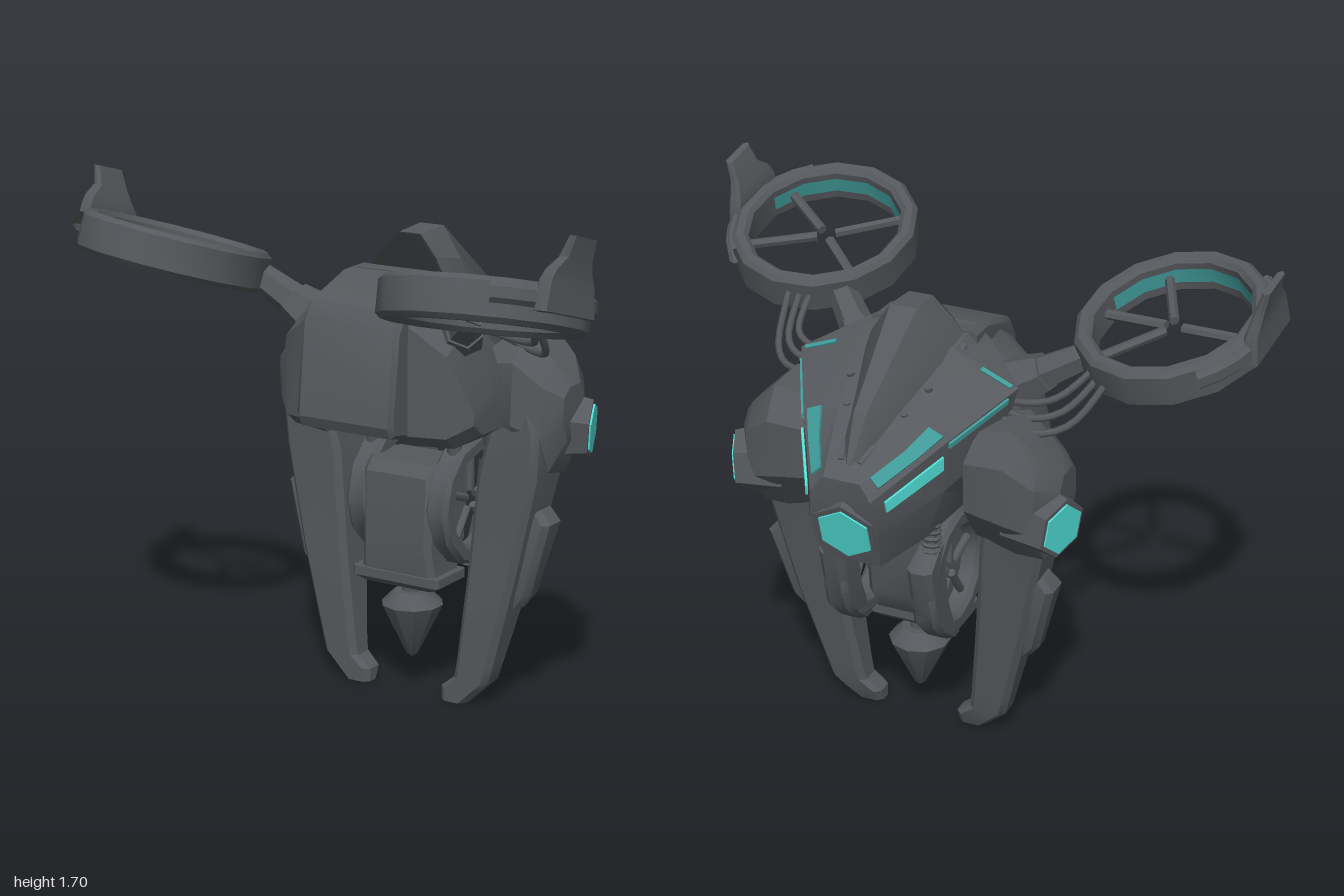
import * as THREE from 'three';
import { toCreasedNormals } from 'three/addons/utils/BufferGeometryUtils.js';

const paint = (name, color) => {
  const m = new THREE.MeshStandardMaterial({ color, side: THREE.DoubleSide });
  m.name = name;
  return m;
};
const V = (a) => new THREE.Vector3(...a);
const SIDES = [-1, 1];

export function createModel() {
  const armour = paint('armourGrey', 0x55585c);
  const dark = paint('darkGlass', 0x2b2c2e);
  const glow = paint('tealGlow', 0x50ddd5);
  const stripe = paint('tealStripe', 0x3f9a98);
  const model = new THREE.Group();
  model.name = 'drone';
  const body = new THREE.Group();
  body.name = 'body';
  body.position.x = 0.04;
  body.rotation.y = 0.125;
  model.add(body);

  const add = (parent, name, geo, mat = armour, crease = 0.55) => {
    const mesh = new THREE.Mesh(toCreasedNormals(geo, crease), mat);
    mesh.name = name;
    parent.add(mesh);
    return mesh;
  };

  // Closed solid through equal-length rings of points, wound outwards
  const loft = (rings) => {
    const n = rings[0].length, tris = [];
    for (let k = 0; k + 1 < rings.length; k++) for (let i = 0; i < n; i++) {
      const j = (i + 1) % n, a = rings[k], b = rings[k + 1];
      tris.push([a[i], a[j], b[j]], [a[i], b[j], b[i]]);
    }
    const cap = (r, flip) => {
      const c = [0, 1, 2].map((d) => r.reduce((t, p) => t + p[d], 0) / n);
      r.forEach((p, i) => tris.push(flip ? [c, r[(i + 1) % n], p] : [c, p, r[(i + 1) % n]]));
    };
    cap(rings[0], true);
    cap(rings[rings.length - 1], false);
    const volume = tris.reduce((t, [a, b, c]) => t + V(a).dot(V(b).cross(V(c))), 0);
    if (volume < 0) tris.forEach((t) => t.reverse());
    return new THREE.BufferGeometry().setAttribute('position', new THREE.Float32BufferAttribute(tris.flat(2), 3));
  };
  // Chamfered rectangle at height y: [y, x0, x1, z0, z1]
  const slab = (s, c) => ([y, x0, x1, z0, z1]) => [
    [x0 + c, z0], [x1 - c, z0], [x1, z0 + c], [x1, z1 - c], [x1 - c, z1], [x0 + c, z1], [x0, z1 - c], [x0, z0 + c],
  ].map(([x, z]) => [x * s, y, z]);
  const post = (s, rows, c = 0.02) => loft(rows.map(slab(s, c)));

  // Cylinder from a to b
  const beam = (parent, name, a, b, r0, r1 = r0, sides = 8, mat = armour) => {
    const d = V(b).sub(V(a));
    const mesh = add(parent, name, new THREE.CylinderGeometry(r1, r0, d.length(), sides), mat, 0.9);
    mesh.position.copy(V(a).addScaledVector(d, 0.5));
    mesh.quaternion.setFromUnitVectors(V([0, 1, 0]), d.normalize());
    return mesh;
  };
  // Bevelled ring around y
  const hoop = (r0, r1, h, seg, start = 0, span = Math.PI * 2) => {
    const b = Math.min(0.015, (r1 - r0) / 3), t = h / 2;
    return new THREE.LatheGeometry([[r0 + b, -t], [r1 - b, -t], [r1, -t + b], [r1, t - b], [r1 - b, t], [r0 + b, t], [r0, t - b], [r0, -t + b], [r0 + b, -t]]
      .map((p) => new THREE.Vector2(...p)), seg, start, span);
  };

  // Hull: half profiles, top to bottom, from front to tail
  const hull = [
    [[0.15, 1.43, 0.02], [0.2, 1.38, 0.02], [0.24, 1.15, 0.0], [0.2, 0.95, 0.0]],
    [[0.15, 1.41, -0.15], [0.37, 1.33, -0.17], [0.32, 1.14, -0.17], [0.22, 0.92, -0.17]],
    [[0.12, 1.29, -0.42], [0.24, 1.235, -0.42], [0.235, 1.07, -0.42], [0.17, 0.89, -0.42]],
    [[0.06, 1.17, -0.655], [0.1, 1.12, -0.665], [0.115, 1.0, -0.64], [0.095, 0.86, -0.59]],
  ];
  const both = (half) => [...half, ...half.map(([x, y, z]) => [-x, y, z]).reverse()];
  add(body, 'hull', loft(hull.map(both)), armour, 0.4);

  // Thin glowing strips lying on a hull face, raised by lift
  const strip = (name, s, k, i, corners, mat, lift) => {
    const at = ([u, v]) => {
      const p = V(hull[k][i]).lerp(V(hull[k][i + 1]), u).lerp(V(hull[k + 1][i]).lerp(V(hull[k + 1][i + 1]), u), v);
      p.x *= s;
      return p;
    };
    const c = corners.map(at);
    const n = c[1].clone().sub(c[0]).cross(c[2].clone().sub(c[0])).normalize();
    if (n.x * s < 0) n.negate();
    const low = c.map((p) => p.clone().addScaledVector(n, lift - 0.008).toArray());
    const high = c.map((p) => p.clone().addScaledVector(n, lift).toArray());
    add(body, name, loft([low, high]), mat);
  };
  for (const s of SIDES) {
    strip('roofStrip', s, 2, 0, [[0.45, -0.03], [0.85, -0.03], [0.85, 0.35], [0.75, 0.85], [0.2, 0.85], [0.45, 0.35]], stripe, 0.01);
    strip('roofCornerStrip', s, 1, 0, [[0.45, 0.01], [0.93, 0.01], [0.93, 0.06], [0.45, 0.06]], stripe, 0.006);
    strip('edgeStrip', s, 1, 1, [[0.03, 0.15], [0.13, 0.15], [0.13, 0.97], [0.03, 0.97]], stripe, 0.008);
    strip('tailStrip', s, 2, 1, [[0.2, 0.06], [0.48, 0.06], [0.48, 0.85], [0.2, 0.85]], glow, 0.0115);
  }

  // Tail lamp
  const tail = (d) => [0, 0.99 - d * 0.28, -0.6 - d * 0.96];
  beam(body, 'tailLampFrame', tail(-0.03), tail(0.037), 0.12, 0.112, 6);
  beam(body, 'tailLamp', tail(0.036), tail(0.043), 0.093, 0.093, 6, glow);

  // Crest on the roof
  const crest = [
    [[0.04, 1.54, -0.07], [0.105, 1.47, -0.06], [0.15, 1.4, -0.05]],
    [[0.045, 1.55, -0.2], [0.11, 1.45, -0.2], [0.14, 1.36, -0.2]],
    [[0.02, 1.33, -0.52], [0.04, 1.28, -0.52], [0.06, 1.2, -0.52]],
    [[0.008, 1.2, -0.6], [0.015, 1.18, -0.6], [0.02, 1.15, -0.6]],
  ];
  add(body, 'crest', loft(crest.map(both)), armour, 0.4);
  const frontFace = both(crest[0]);
  add(body, 'crestWindow', loft([frontFace, frontFace.map(([x, y, z]) => [x * 0.97, y - 0.002, z + 0.008])]), dark);
  for (const s of SIDES) {
    beam(body, 'crestRail', [s * 0.16, 1.4, -0.1], [s * 0.03, 1.2, -0.59], 0.018, 0.012, 6);
    for (const t of [0.35, 0.6]) beam(body, 'roofBolt', [s * (0.18 - t * 0.14), 1.35 - t * 0.2, -0.15 - t * 0.4], [s * (0.18 - t * 0.14), 1.42 - t * 0.2, -0.17 - t * 0.4], 0.012);
  }

  // Front block and flared cheeks
  const front = [[1.43, -0.05], [1.425, 0.06], [1.36, 0.24], [1.3, 0.28], [1.0, 0.315], [0.965, 0.3], [0.91, 0.02], [0.91, -0.05]];
  add(body, 'frontBlock', loft([[-0.18, 0.012], [-0.165, 0], [0.165, 0], [0.18, 0.012]]
    .map(([x, d]) => front.map(([y, z]) => [x, y + (y > 1.1 ? -d : d), z - (z > 0 ? d : 0)]))), armour, 0.5);
  for (const s of SIDES) {
    add(body, 'cheek', loft([[0.15, 0.92, 1.38, 0.23], [0.3, 0.92, 1.27, 0.19], [0.365, 0.96, 1.09, 0.13]]
      .map(([x, y0, y1, z]) => [[y0, -0.05], [y1, -0.05], [y1, z - 0.08], [y1 - 0.05, z], [y0 + 0.04, z], [y0, z - 0.05]].map(([y, zz]) => [x * s, y, zz]))));
  }

  const pod = [[-0.04, 1.17], [-0.14, 1.25], [-0.3, 1.25], [-0.37, 1.15], [-0.36, 0.95], [-0.24, 0.79], [-0.1, 0.82], [-0.03, 0.97]];
  for (const s of SIDES) {
    // Shoulder with its lamp: [x, scale, drop, forward shift]
    add(body, 'shoulder', loft([[0.26, 0.85, 0, 0], [0.4, 1, 0, 0], [0.49, 0.82, 0.045, 0], [0.545, 0.4, 0.02, 0.02]]
      .map(([x, f, drop, shift]) => pod.map(([z, y]) => [x * s, 1.02 - drop + (y - 1.02) * f, shift - 0.2 + (z + 0.2) * f]))), armour, 0.5);
    const lamp = (d) => [s * (0.468 + d * 0.93), 0.94 - d * 0.06, -0.235 - d * 0.36];
    beam(body, 'shoulderLampFrame', lamp(-0.05), lamp(0.1), 0.125, 0.1, 6);
    beam(body, 'shoulderLamp', lamp(0.099), lamp(0.106), 0.085, 0.085, 6, glow);

    // Leg ending in an inward toe
    add(body, 'leg', post(s, [
      [1.1, 0.33, 0.43, -0.24, -0.06], [0.95, 0.31, 0.49, -0.27, -0.04], [0.79, 0.265, 0.48, -0.235, -0.045], [0.45, 0.235, 0.41, -0.19, -0.035],
      [0.15, 0.2, 0.335, -0.14, -0.03], [0.09, 0.19, 0.32, -0.13, -0.03], [0.05, 0.14, 0.28, -0.12, -0.03], [0.005, 0.14, 0.235, -0.1, -0.03]]));
    add(body, 'legPanel', post(s, [
      [0.68, 0.4, 0.47, -0.2, -0.1], [0.64, 0.4, 0.505, -0.2, -0.09], [0.4, 0.33, 0.445, -0.16, -0.08], [0.35, 0.32, 0.41, -0.14, -0.09]]));

    // Side wheel under the body
    const wheel = new THREE.Group();
    wheel.name = 'sideWheel';
    wheel.position.set(s * 0.153, 0.655, -0.2);
    wheel.rotation.z = Math.PI / 2;
    body.add(wheel);
    add(wheel, 'wheelRim', hoop(0.155, 0.22, 0.085, 12));
    for (let i = 0; i < 5; i++) {
      const a = i * Math.PI * 0.4;
      beam(wheel, 'wheelSpoke', [0.03 * Math.cos(a), 0, 0.03 * Math.sin(a)], [0.18 * Math.cos(a), 0, 0.18 * Math.sin(a)], 0.014);
    }
    add(body, 'wheelGuard', post(s, [
      [0.82, 0.12, 0.19, -0.37, -0.3], [0.77, 0.11, 0.195, -0.45, -0.31], [0.6, 0.11, 0.195, -0.41, -0.28],
      [0.5, 0.11, 0.195, -0.35, -0.24], [0.43, 0.12, 0.19, -0.26, -0.18]]));

    // Sprung strut
    beam(body, 'strut', [s * 0.15, 0.95, -0.34], [s * 0.165, 0.77, -0.36], 0.015);
    for (let i = 0; i < 5; i++) {
      const coil = add(body, 'strutCoil', new THREE.TorusGeometry(0.026, 0.008, 5, 10), armour, 1);
      coil.position.set(s * 0.16, 0.81 + i * 0.023, -0.355);
      coil.rotation.x = Math.PI / 2 + 0.15;
    }
    beam(body, 'hanger', [s * 0.15, 0.96, -0.08], [s * 0.16, 0.8, -0.1], 0.025);
  }

  // Lower pod, eye and spike
  add(body, 'lowerPod', post(1, [[0.8, -0.13, 0.13, -0.2, -0.02], [0.76, -0.135, 0.135, -0.24, 0.01], [0.52, -0.13, 0.13, -0.22, 0.02], [0.43, -0.14, 0.14, -0.16, 0.01]]));
  beam(body, 'bellyEye', [0, 0.95, -0.24], [0, 0.88, -0.23], 0.14, 0.085, 14, glow);
  add(body, 'podPlate', post(1, [[0.43, -0.165, 0.165, -0.16, 0.02], [0.4, -0.165, 0.165, -0.16, 0.02], [0.38, -0.13, 0.13, -0.14, 0.0]], 0.01));
  beam(body, 'spikeStem', [0, 0.4, -0.09], [0, 0.33, -0.09], 0.035);
  const spike = add(body, 'spike', new THREE.LatheGeometry([[0, 0.11], [0.02, 0.125], [0.105, 0.3], [0.06, 0.345], [0, 0.345]].map((p) => new THREE.Vector2(...p)), 10));
  spike.position.z = -0.09;

  // Tilted rotors on arms: side, hub, arm root, arm tip, spoke angles
  const rotors = [
    [-1, [-0.67, 1.45, 0.287], [-0.2, 1.22, 0.06], [-0.44, 1.36, 0.1], [178, 48, -2, -58]],
    [1, [0.65, 1.45, 0.335], [0.26, 1.22, 0.0], [0.45, 1.36, 0.13], [35, -30, 222, 145]],
  ];
  const facet = Math.PI / 7;
  for (const [s, hub, root, tip, spokes] of rotors) {
    const rotor = new THREE.Group();
    rotor.name = 'rotor';
    rotor.position.set(...hub);
    rotor.rotation.set(-0.27, 0, s * 0.1);
    rotor.scale.z = 1.08;
    model.add(rotor);
    add(rotor, 'rotorRing', hoop(0.25, 0.305, 0.13, 14), armour, 0.6);
    const band = new THREE.LatheGeometry([new THREE.Vector2(0.247, 0.03), new THREE.Vector2(0.247, -0.02)], 6, -3 * facet, 6 * facet);
    add(rotor, 'rotorGlow', band, stripe, 0.6);
    add(rotor, 'rotorBand', hoop(0.285, 0.325, 0.06, 8, s * Math.PI / 2 - 0.85, 1.7), armour, 0.6).position.y = 0.02;
    for (const deg of spokes) {
      const a = deg * Math.PI / 180, c = Math.cos(a), n = -Math.sin(a);
      beam(rotor, 'rotorSpoke', [0.03 * c, 0, 0.03 * n], [0.26 * c, 0, 0.26 * n], 0.016, 0.016, 6);
    }
    add(rotor, 'rotorFin', post(s, [
      [-0.02, 0.28, 0.325, -0.1, 0.14], [0.07, 0.285, 0.33, -0.08, 0.135], [0.1, 0.295, 0.335, -0.06, 0.125],
      [0.14, 0.31, 0.345, -0.04, 0.09], [0.2, 0.34, 0.365, -0.025, 0.09]], 0.01));
    beam(model, 'armRoot', root, V(root).lerp(V(tip), 0.55).toArray(), 0.1, 0.065, 6);
    beam(model, 'armTip', V(root).lerp(V(tip), 0.4).toArray(), V(tip).add(V([s * 0.03, 0.02, 0.02])).toArray(), 0.06, 0.045, 6);

    // Cables looping from hull to ring
    for (let i = 0; i < 3; i++) {
      const o = i * 0.032;
      const path = new THREE.CatmullRomCurve3([
        [root[0] + s * 0.03, 1.26, -0.08 - o], [root[0] + s * (0.14 + o), 1.27 - o, -0.1 - o * 0.8],
        [root[0] + s * (0.24 + o), 1.29 - o, -0.06 - o * 0.4], [tip[0] + s * (0.09 + o), 1.38, 0.08 - o * 0.6]].map(V));
      add(model, 'cable', new THREE.TubeGeometry(path, 14, 0.012, 6), armour, 1.2);
    }
  }
  return model;
}
